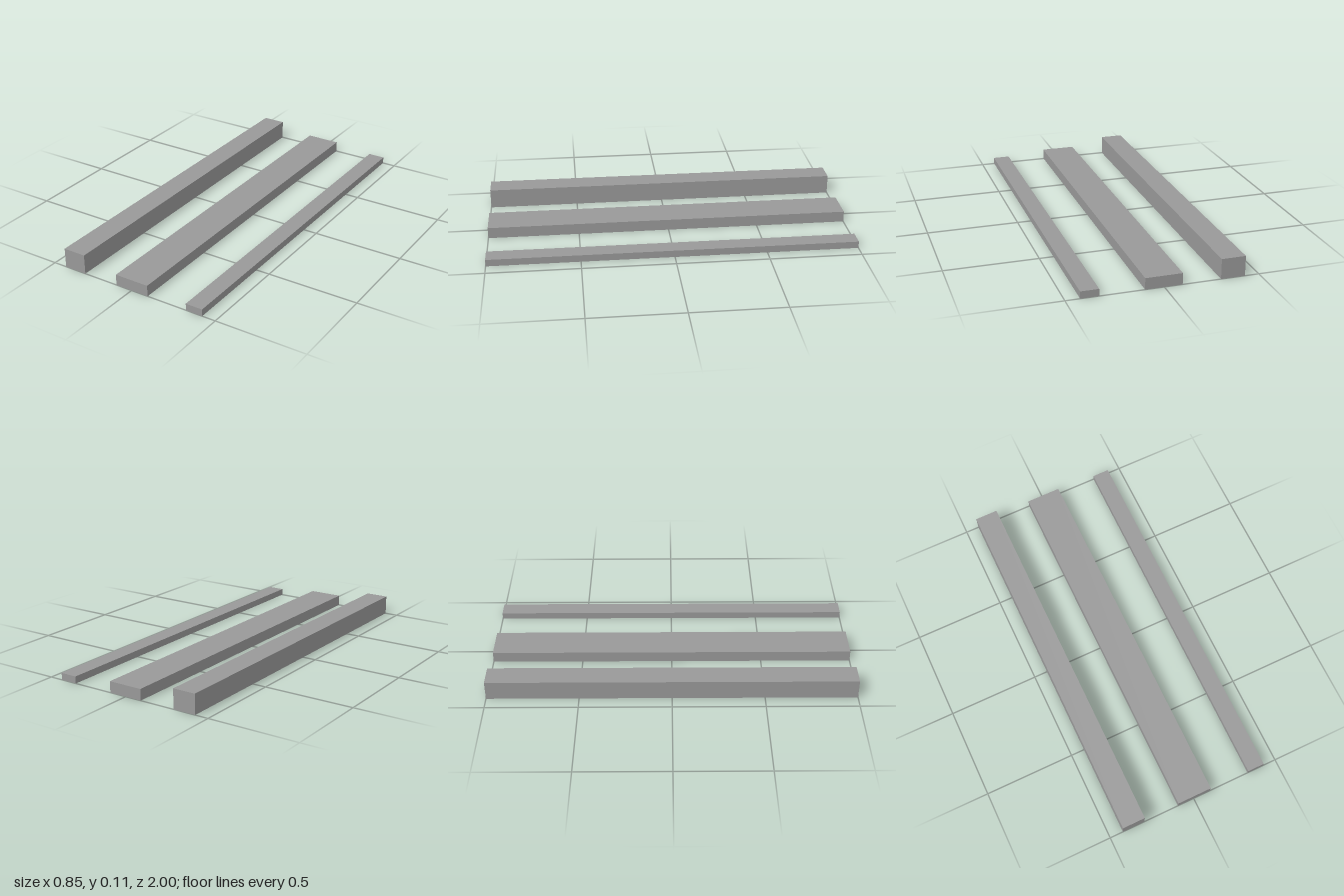
import * as THREE from 'three';

const LENGTH = 2;

export function createModel() {
  const group = new THREE.Group();
  group.name = 'timberBeams';
  const material = new THREE.MeshStandardMaterial({ color: 0x999999, flatShading: true });

  // A straight beam resting on the ground, running front to back
  const addBeam = (name, xMin, xMax, height) => {
    const beam = new THREE.Mesh(new THREE.BoxGeometry(xMax - xMin, height, LENGTH), material);
    beam.name = name;
    beam.position.set((xMin + xMax) / 2, height / 2, 0);
    group.add(beam);
  };

  addBeam('thickBeam', -0.425, -0.297, 0.108);
  addBeam('widePlank', -0.095, 0.099, 0.061);
  addBeam('thinBatten', 0.33, 0.425, 0.038);

  return group;
}
